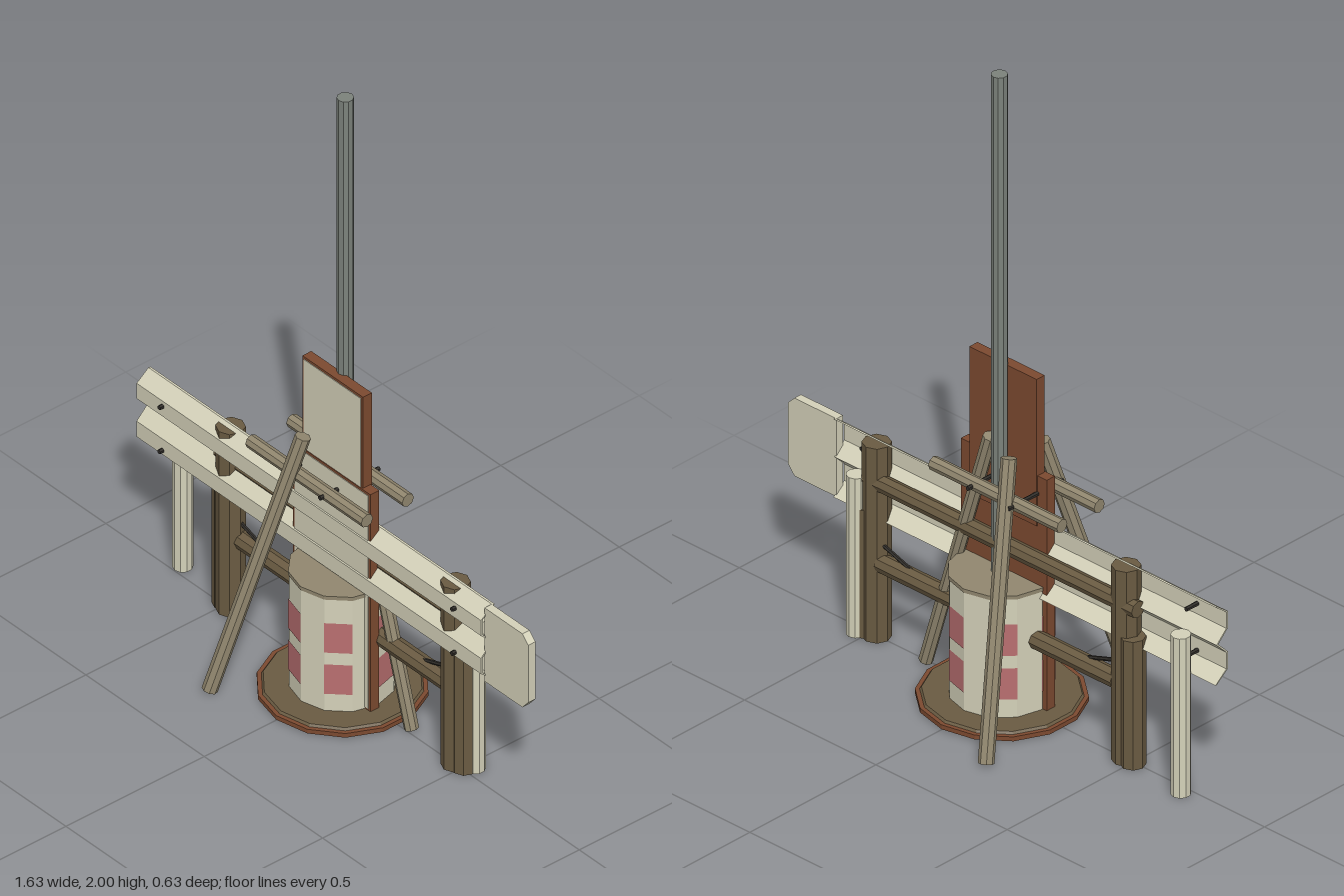
import * as THREE from 'three';

const mat = (name, color, double) => {
  const m = new THREE.MeshStandardMaterial({ color });
  m.name = name;
  if (double) m.side = THREE.DoubleSide;
  return m;
};

export function createModel() {
  const root = new THREE.Group();
  root.name = 'roadBarrier';
  const cream = mat('cream paint', 0xd4d1b9, true);
  const brown = mat('dark wood', 0x6a5b42);
  const rust = mat('rusty metal', 0x7c4a30);
  const tan = mat('weathered wood', 0x91876f);
  const grey = mat('pole grey', 0x7c827b);
  const pink = mat('faded red', 0xb96f70);
  const dark = mat('dark iron', 0x302d29);

  const add = (name, geo, material, x = 0, y = 0, z = 0) => {
    const mesh = new THREE.Mesh(geo.index ? geo.toNonIndexed() : geo, material);
    mesh.geometry.computeVertexNormals(); // crisp facets
    mesh.name = name;
    mesh.position.set(x, y, z);
    root.add(mesh);
    return mesh;
  };
  const box = (name, material, x0, x1, y0, y1, z0, z1) =>
    add(name, new THREE.BoxGeometry(x1 - x0, y1 - y0, z1 - z0), material,
      (x0 + x1) / 2, (y0 + y1) / 2, (z0 + z1) / 2);
  // Round bar between two points
  const bar = (name, material, a, b, r, sides = 8) => {
    const p = new THREE.Vector3(...a), q = new THREE.Vector3(...b);
    const d = q.clone().sub(p);
    const mesh = add(name, new THREE.CylinderGeometry(r, r, d.length(), sides), material);
    mesh.position.copy(p).add(q).multiplyScalar(0.5);
    mesh.quaternion.setFromUnitVectors(new THREE.Vector3(0, 1, 0), d.normalize());
    return mesh;
  };

  // Tall pole
  bar('pole', grey, [0, 0.4, -0.01], [0, 2, -0.01], 0.024, 10);

  // Drum with its base ring
  add('baseRim', new THREE.CylinderGeometry(0.24, 0.24, 0.014, 14), rust, 0, 0.008, 0);
  add('baseTop', new THREE.CylinderGeometry(0.222, 0.228, 0.008, 14), brown, 0, 0.018, 0);
  add('drumBottom', new THREE.CylinderGeometry(0.15, 0.15, 0.004, 12), grey, 0, 0.002, 0);
  add('drum', new THREE.CylinderGeometry(0.15, 0.15, 0.39, 12, 1, true), cream, 0, 0.215, 0);
  add('drumLid', new THREE.CylinderGeometry(0.152, 0.152, 0.012, 12), tan, 0, 0.406, 0);
  // Red checks on every second facet
  for (let i = 1; i < 12; i += 2) {
    for (const y of [0.13, 0.27]) {
      add('drumCheck', new THREE.CylinderGeometry(0.152, 0.152, 0.1, 1, 1, true,
        i * Math.PI / 6, Math.PI / 6), pink, 0, y, 0);
    }
  }

  // Sign boards with cream faces
  const sign = (name, x0, x1, y0, y1, z0, z1) => {
    box(name + 'Board', rust, x0, x1, y0, y1, z0, z1);
    box(name + 'Face', cream, x0 + 0.008, x1 - 0.008, y0 + 0.008, y1 - 0.008, z1 - 0.002, z1 + 0.002);
  };
  sign('upperSign', -0.13, 0.126, 0.6, 1.07, 0.002, 0.034);
  sign('lowerSign', -0.165, 0.162, 0.02, 0.76, 0.006, 0.038);

  // W-shaped guardrail, profile given as [z, y]
  const wave = [[0, 0.63], [0.043, 0.597], [0.043, 0.545], [0.004, 0.507],
    [0.043, 0.468], [0.043, 0.415], [0, 0.38]];
  const inner = wave.map(([z, y]) => [z - 0.007, y]).reverse();
  const profile = new THREE.Shape([...wave, ...inner].map(([z, y]) => new THREE.Vector2(-z, y)));
  const railGeo = new THREE.ExtrudeGeometry(profile, { depth: 1.455, bevelEnabled: false });
  railGeo.rotateY(Math.PI / 2);
  add('guardrail', railGeo, cream, -0.82, 0, 0);

  // Rounded-off end plate
  const plate = new THREE.Shape([[0.63, 0.38], [0.79, 0.38], [0.815, 0.41], [0.815, 0.605],
    [0.79, 0.63], [0.63, 0.63]].map(p => new THREE.Vector2(...p)));
  add('endPlate', new THREE.ExtrudeGeometry(plate, { depth: 0.026, bevelEnabled: false }), cream);

  // Cream posts and rail bolts
  for (const x of [-0.71, 0.526]) {
    bar('railPost', cream, [x, 0, -0.03], [x, 0.51, -0.03], 0.029, 10);
    for (const y of [0.43, 0.58]) bar('railBolt', dark, [x, y, -0.01], [x, y, 0.056], 0.007, 6);
  }

  // Wooden fence: posts, beams and wire braces
  for (const s of [-1, 1]) {
    bar('fencePost', brown, [s * 0.475, 0, -0.002], [s * 0.475, 0.622, -0.002], 0.042, 8);
    bar('fenceShortPost', brown, [s * 0.506, 0, -0.008], [s * 0.506, 0.41, -0.008], 0.037, 8);
    bar('wireBrace', dark, [s * 0.45, 0.31, -0.01], [s * 0.33, 0.27, -0.01], 0.006, 6);
  }
  bar('upperBeam', brown, [-0.53, 0.505, -0.012], [0.5, 0.505, -0.012], 0.026);
  bar('lowerBeam', brown, [-0.45, 0.25, -0.012], [0.45, 0.25, -0.012], 0.028);

  // Three-legged trestle with two cross rails
  bar('trestleLeg', tan, [0.28, 0.008, -0.01], [0.03, 0.83, -0.015], 0.021);
  for (const s of [-1, 1]) {
    bar('trestleLeg', tan, [-0.22, 0.006, s * 0.292], [-0.09, 0.832, s * 0.066], 0.023);
    bar('trestleRail', tan, [-0.3, 0.704, s * 0.074], [0.19, 0.704, s * 0.074], 0.021);
  }
  for (const x of [-0.13, 0.026]) {
    bar('trestleBolt', dark, [x, 0.704, -0.11], [x, 0.704, 0.105], 0.007, 6);
  }

  return root;
}
